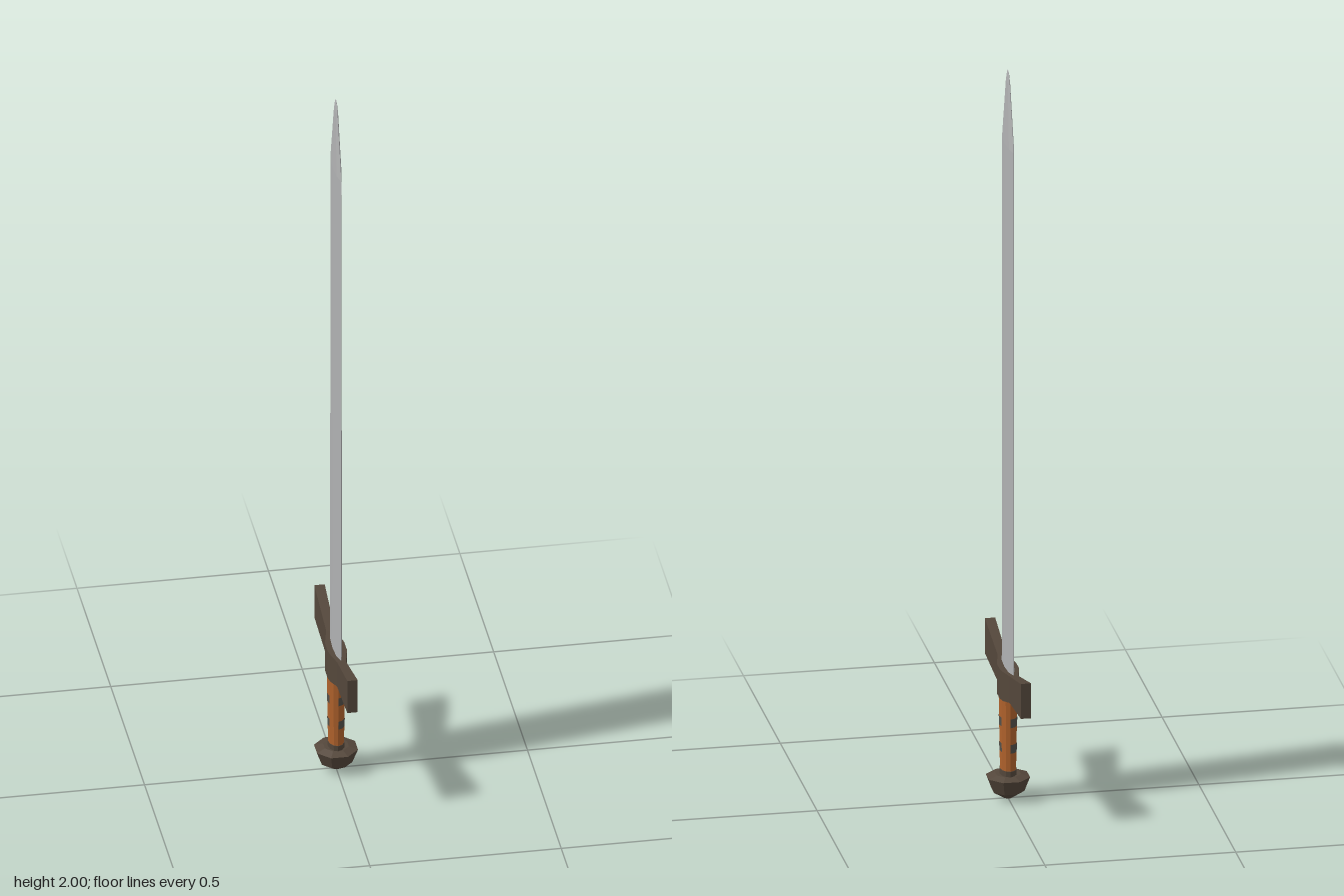
import * as THREE from 'three';

const material = (name, color) => {
  const m = new THREE.MeshStandardMaterial({ color });
  m.name = name;
  return m;
};

// Faceted solid through rings of equal point count, capped at both ends.
// Rings run counter-clockwise seen from the far end.
function loft(rings) {
  const n = rings[0].length, pos = [];
  const tri = (...pts) => pts.forEach((p) => pos.push(...p));
  for (let k = 0; k < rings.length - 1; k++) {
    const a = rings[k], b = rings[k + 1];
    for (let i = 0; i < n; i++) {
      const j = (i + 1) % n;
      tri(a[i], a[j], b[j]);
      tri(a[i], b[j], b[i]);
    }
  }
  const first = rings[0], last = rings[rings.length - 1];
  for (let i = 1; i < n - 1; i++) {
    tri(first[0], first[i + 1], first[i]);
    tri(last[0], last[i], last[i + 1]);
  }
  const g = new THREE.BufferGeometry();
  g.setAttribute('position', new THREE.Float32BufferAttribute(pos, 3));
  g.computeVertexNormals();
  return g;
}

export function createModel() {
  const group = new THREE.Group();
  const steel = material('steel', 0xb0b1b2);
  const bronze = material('dark bronze', 0x54473b);
  const leather = material('orange leather', 0xb0622c);
  const wrap = material('dark wrap', 0x53504a);

  const add = (name, geometry, mat) => {
    const mesh = new THREE.Mesh(geometry, mat);
    mesh.name = name;
    group.add(mesh);
    return mesh;
  };

  // Blade: lens section, [height, half width, half thickness]
  const bladeRings = [
    [0.33, 0.077, 0.01], [1.4, 0.075, 0.009], [1.8, 0.078, 0.009],
    [1.97, 0.023, 0.004], [1.99, 0.015, 0.002], [2.0, 0.006, 0.0005],
  ].map(([y, w, t]) => [
    [0, w], [0.75 * t, 0.6 * w], [t, 0], [0.75 * t, -0.6 * w],
    [0, -w], [-0.75 * t, -0.6 * w], [-t, 0], [-0.75 * t, 0.6 * w],
  ].map(([x, z]) => [x, y, z]));
  add('blade', loft(bladeRings), steel);

  // Crossguard: flared arms, [z, half thickness, bottom, top], mirrored
  const arm = [
    [0.244, 0.0135, 0.308, 0.404], [0.08, 0.0115, 0.291, 0.364],
    [0.04, 0.021, 0.282, 0.362], [0.018, 0.025, 0.281, 0.362],
  ];
  const stations = [
    ...arm.map(([z, ...r]) => [-z, ...r]),
    ...[...arm].reverse(),
  ];
  add('crossguard', loft(stations.map(([z, h, lo, hi]) => [
    [-h, lo, z], [h, lo, z], [h, hi, z], [-h, hi, z],
  ])), bronze);

  // Grip: tapered oval handle
  const SIDES = 12, LOW = 0.05, HIGH = 0.3;
  const radius = (y) => 0.031 + 0.006 * (y - LOW) / (HIGH - LOW);
  const sleeve = (y0, y1, grow, start, turns, open) => {
    const g = new THREE.CylinderGeometry(radius(y1) + grow, radius(y0) + grow, y1 - y0,
      Math.round(SIDES * turns), 1, open, start, turns * Math.PI * 2).toNonIndexed();
    g.scale(0.66, 1, 1);
    g.translate(0, (y0 + y1) / 2, 0);
    g.computeVertexNormals();
    return g;
  };
  add('grip', sleeve(LOW, HIGH, 0, 0, 1, false), leather);

  // Wrap strips on both faces, and a collar above the pommel
  for (const side of [0, 1]) {
    for (const y of [0.145, 0.216]) {
      add('gripWrap', sleeve(y - 0.012, y + 0.012, 0.0012, side * Math.PI, 1 / 3, true), wrap);
    }
  }
  add('gripCollar', sleeve(0.06, 0.083, 0.0015, 0, 1, false), bronze);

  // Pommel: octagonal knob, [radius, height]
  const profile = [[0, 0], [0.012, 0.002], [0.043, 0.022], [0.058, 0.061], [0.034, 0.068], [0, 0.068]]
    .map(([r, y]) => new THREE.Vector2(r, y));
  const pommel = new THREE.LatheGeometry(profile, 8, Math.PI / 8).toNonIndexed();
  pommel.computeVertexNormals();
  add('pommel', pommel, bronze);

  return group;
}
